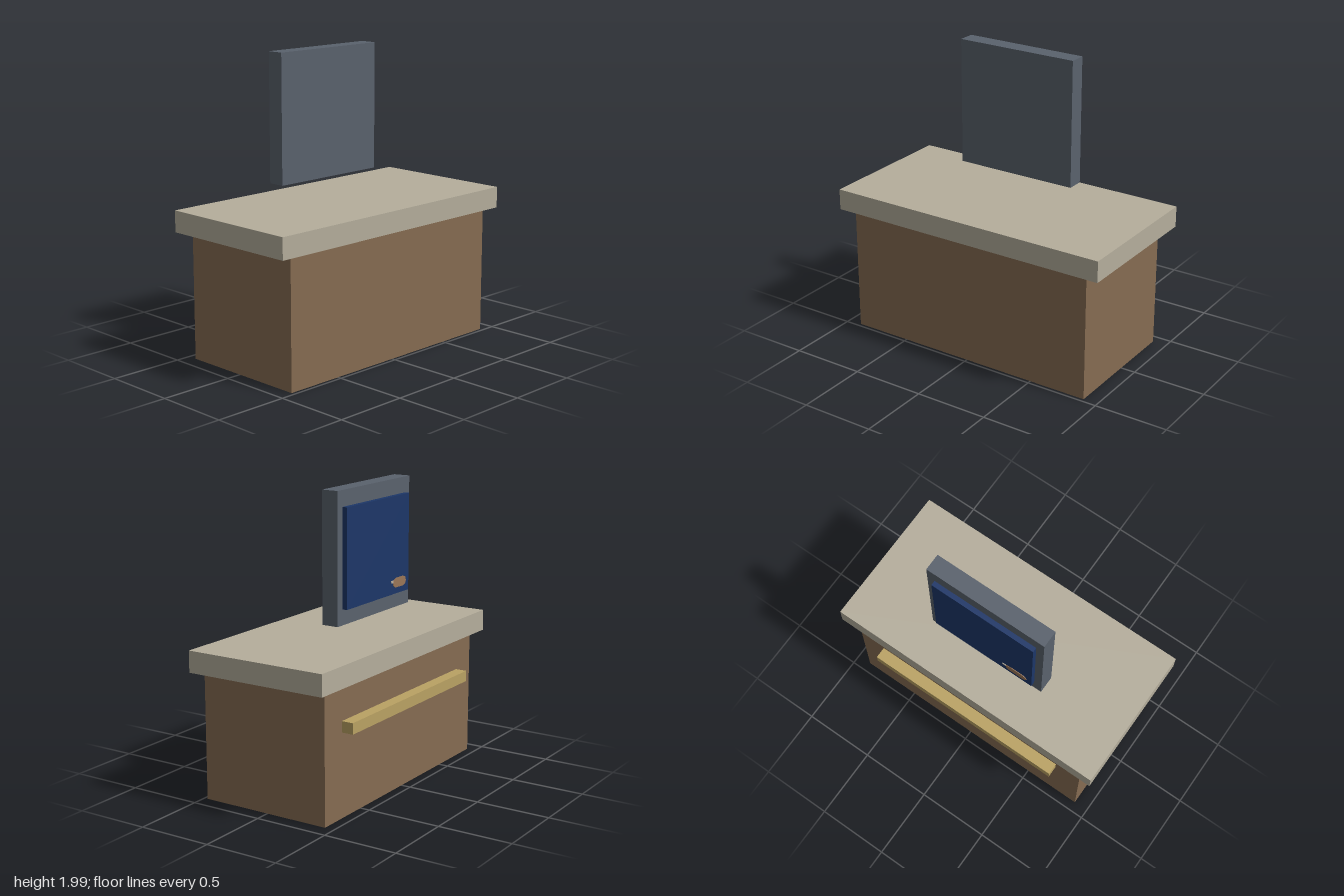
import * as THREE from 'three';

const material = (name, color) => {
  const m = new THREE.MeshStandardMaterial({ color });
  m.name = name;
  return m;
};

export function createModel() {
  const model = new THREE.Group();
  model.name = 'counter';

  const wood = material('brown wood', 0x866c52);
  const stone = material('beige stone', 0xb5ae9c);
  const slate = material('slate grey', 0x5a626d);
  const navy = material('navy blue', 0x1d3768);
  const brass = material('brass', 0xbaa263);
  const tan = material('tan', 0x9a7658);
  const pale = material('pale grey', 0xb9b0a2);

  // Box given by its limits on each axis
  const box = (name, mat, [x0, x1], [y0, y1], [z0, z1]) => {
    const mesh = new THREE.Mesh(new THREE.BoxGeometry(x1 - x0, y1 - y0, z1 - z0), mat);
    mesh.position.set((x0 + x1) / 2, (y0 + y1) / 2, (z0 + z1) / 2);
    mesh.name = name;
    model.add(mesh);
  };

  box('cabinet', wood, [-0.9, 0.9], [0, 0.857], [-0.435, 0.475]);
  box('countertop', stone, [-1, 1], [0.857, 1], [-0.485, 0.515]);
  box('rail', brass, [-0.713, 0.713], [0.557, 0.63], [-0.515, -0.435]);
  box('displayFrame', slate, [-0.427, 0.427], [1.13, 1.985], [-0.215, -0.1]);
  box('displayScreen', navy, [-0.372, 0.372], [1.233, 1.88], [-0.248, -0.215]);

  // Thin badge in the lower corner of the screen
  const plate = (name, mat, points) => {
    const shape = new THREE.Shape(points.map(([x, y]) => new THREE.Vector2(x, y)));
    const mesh = new THREE.Mesh(new THREE.ExtrudeGeometry(shape, { depth: 0.005, bevelEnabled: false }), mat);
    mesh.position.z = -0.252;
    mesh.name = name;
    model.add(mesh);
  };
  plate('badge', tan, [
    [-0.18, 1.29], [-0.2, 1.275], [-0.3, 1.272], [-0.325, 1.282], [-0.335, 1.305],
    [-0.325, 1.328], [-0.3, 1.338], [-0.22, 1.338], [-0.18, 1.325],
  ]);
  plate('badgeTip', pale, [[-0.18, 1.308], [-0.18, 1.325], [-0.15, 1.325], [-0.15, 1.31]]);

  return model;
}
